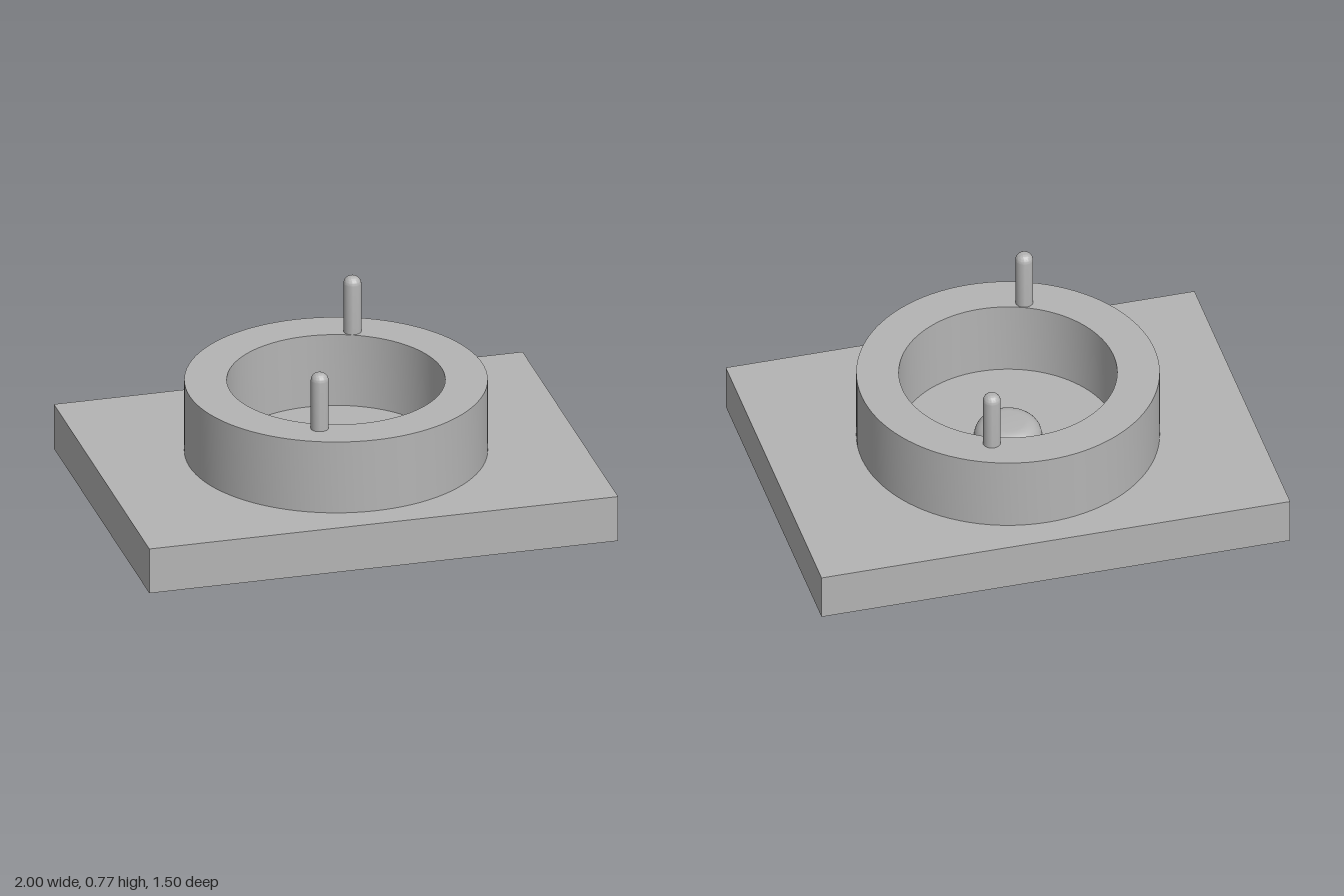
import * as THREE from 'three';
import { toCreasedNormals } from 'three/addons/utils/BufferGeometryUtils.js';

const grey = new THREE.MeshStandardMaterial({ color: 0xb4b4b4 });
grey.name = 'plain grey';

// Turned solid with smooth curves and sharp corners
function turned(points, segments) {
  const profile = points.map(([r, y]) => new THREE.Vector2(r, y));
  return toCreasedNormals(new THREE.LatheGeometry(profile, segments), 0.6);
}

// Profile of a round stud whose top edge is rounded over
function studProfile(radius, height, fillet, steps = 10) {
  const points = [[radius, 0]];
  for (let i = 0; i <= steps; i++) {
    const a = (i / steps) * Math.PI / 2;
    points.push([radius - fillet + fillet * Math.cos(a), height - fillet + fillet * Math.sin(a)]);
  }
  points.push([0, height]);
  return points.filter((p, i) => i === 0 || Math.hypot(p[0] - points[i - 1][0], p[1] - points[i - 1][1]) > 1e-5);
}

export function createModel() {
  const model = new THREE.Group();
  model.name = 'mountingBase';

  function add(name, geometry, x, y, z) {
    const mesh = new THREE.Mesh(geometry, grey);
    mesh.name = name;
    mesh.position.set(x, y, z);
    model.add(mesh);
  }

  // Rectangular plate
  add('basePlate', new THREE.BoxGeometry(2, 0.2, 1.5), 0, 0.1, 0);

  // Hollow collar standing on the plate
  add('collarRing', turned([[0.625, 0], [0.625, 0.32], [0.45, 0.32], [0.45, 0]], 96), 0, 0.2, 0);

  // Low rounded button in the middle of the collar
  add('centreButton', turned(studProfile(0.14, 0.07, 0.07), 48), 0, 0.2, 0);

  // Two locating pins on opposite sides of the collar
  const pin = turned(studProfile(0.037, 0.25, 0.034), 32);
  for (const [name, s] of [['frontPin', -1], ['backPin', 1]]) {
    add(name, pin, s * 0.192, 0.52, -s * 0.45);
  }

  return model;
}
